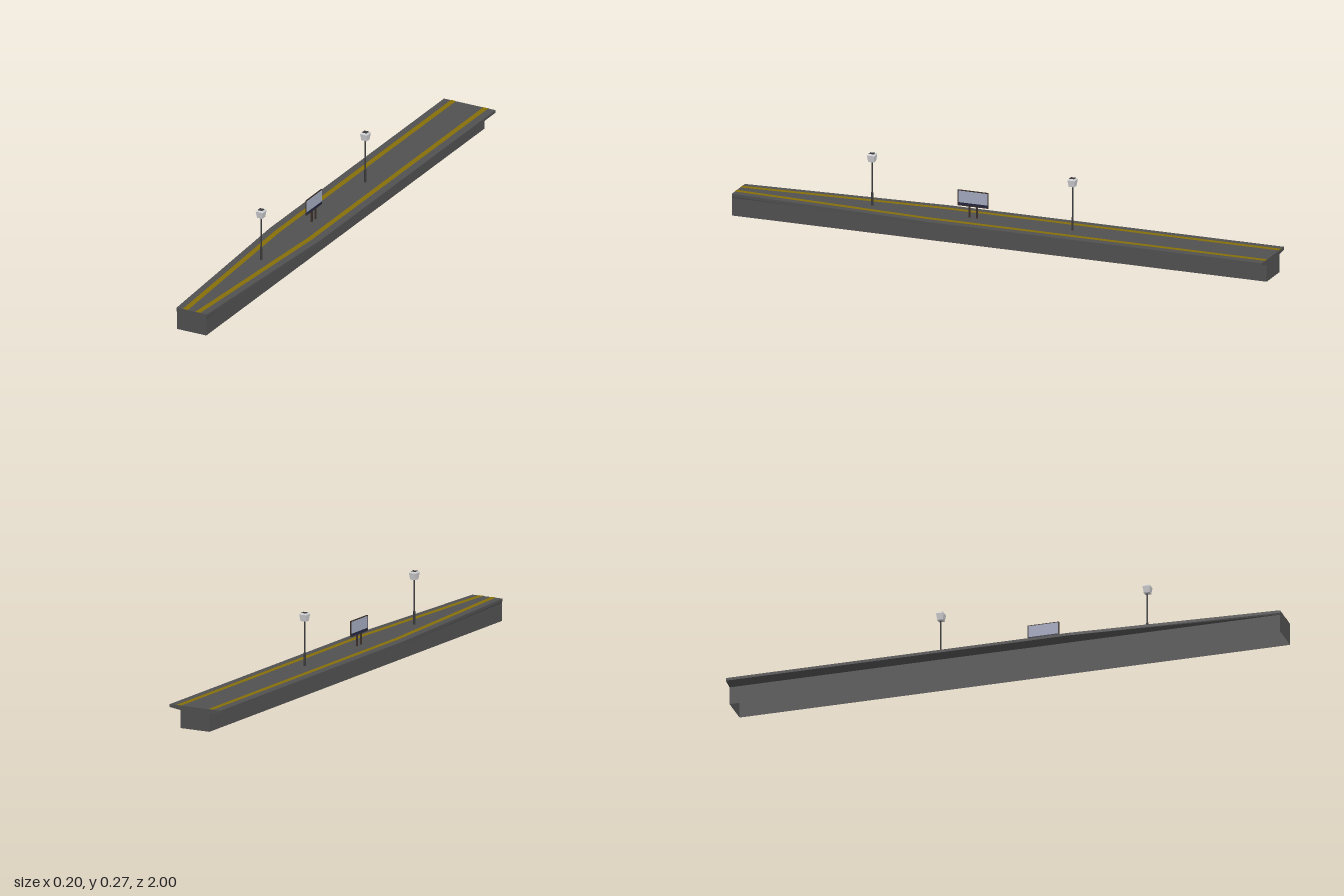
import * as THREE from 'three';

const mat = (name, color, side = THREE.FrontSide) => {
  const m = new THREE.MeshStandardMaterial({ color, side });
  m.name = name;
  return m;
};

// Sweeps a list of cross-sections ({ z, pts }) into a flat-shaded open shell.
function loft(sections) {
  const pos = [];
  for (let s = 0; s < sections.length - 1; s++) {
    const a = sections[s], b = sections[s + 1];
    for (let i = 0; i < a.pts.length - 1; i++) {
      const a0 = [...a.pts[i], a.z], a1 = [...a.pts[i + 1], a.z];
      const b0 = [...b.pts[i], b.z], b1 = [...b.pts[i + 1], b.z];
      pos.push(...a0, ...a1, ...b1, ...a0, ...b1, ...b0);
    }
  }
  const g = new THREE.BufferGeometry();
  g.setAttribute('position', new THREE.Float32BufferAttribute(pos, 3));
  g.computeVertexNormals();
  return g;
}

// Square frustum with flat sides; half widths at bottom and top.
function frustum(bottom, top, height) {
  const g = new THREE.CylinderGeometry(top * Math.SQRT2, bottom * Math.SQRT2, height, 4)
    .rotateY(Math.PI / 4).toNonIndexed();
  g.computeVertexNormals();
  return g;
}

export function createModel() {
  const model = new THREE.Group();
  model.name = 'stationPlatform';

  const concrete = mat('concrete', 0x505050, THREE.DoubleSide);
  const yellow = mat('safetyYellow', 0x866e08, THREE.DoubleSide);
  const metal = mat('darkMetal', 0x3a3a3c);
  const glass = mat('lampGlass', 0xcfcfd2);
  const frameMat = mat('signFrame', 0x3b302b);
  const panelMat = mat('signPanel', 0xa2a8be);
  const navy = mat('signNavy', 0x22263f);

  const add = (parent, name, geometry, material, x = 0, y = 0, z = 0) => {
    const mesh = new THREE.Mesh(geometry, material);
    mesh.name = name;
    mesh.position.set(x, y, z);
    parent.add(mesh);
    return mesh;
  };

  // Platform: hollow block with an overhanging deck that narrows to the front
  const DECK = 0.08, BASE = 0.058;
  const profile = (w) => {
    const half = [[BASE, 0], [BASE, 0.064], [w, 0.07], [w, DECK]];
    return [...half, ...half.slice().reverse().map(([x, y]) => [-x, y])];
  };
  const sections = [[-1, 0.102], [0.25, 0.102], [1, 0.06]].map(([z, w]) => ({ z, pts: profile(w) }));
  add(model, 'platformShell', loft(sections), concrete);
  const cap = (section) =>
    new THREE.ShapeGeometry(new THREE.Shape(section.pts.map(([x, y]) => new THREE.Vector2(x, y))));
  add(model, 'frontEnd', cap(sections[2]), concrete, 0, 0, 1);
  add(model, 'backEnd', cap(sections[0]).rotateY(Math.PI), concrete, 0, 0, -1);

  // Safety lines following the deck edges
  for (const side of [1, -1]) {
    const line = [[-1, 0.064], [0.27, 0.064], [1, 0.025]].map(([z, x]) => ({
      z,
      pts: [[side * x + 0.01, DECK + 0.001], [side * x - 0.01, DECK + 0.001]],
    }));
    add(model, side > 0 ? 'leftLine' : 'rightLine', loft(line), yellow);
  }

  // Lamp posts
  for (const z of [0.5, -0.25]) {
    const lamp = new THREE.Group();
    lamp.name = 'lampPost';
    lamp.position.set(0, DECK, z);
    add(lamp, 'lampFoot', new THREE.CylinderGeometry(0.0045, 0.0045, 0.047, 8), metal, 0, 0.0235);
    add(lamp, 'lampPole', new THREE.CylinderGeometry(0.0027, 0.0027, 0.12, 8), metal, 0, 0.102);
    add(lamp, 'lampShade', frustum(0.0105, 0.014, 0.024), glass, 0, 0.172);
    add(lamp, 'lampRoof', frustum(0.014, 0.0105, 0.005), glass, 0, 0.1865);
    add(lamp, 'lampCap', frustum(0.009, 0.009, 0.001), metal, 0, 0.1893);
    model.add(lamp);
  }

  // Information sign facing both sides
  const sign = new THREE.Group();
  sign.name = 'sign';
  sign.position.set(0, 0, 0.122);
  add(sign, 'signFrame', new THREE.BoxGeometry(0.004, 0.057, 0.114), frameMat, 0, 0.1485);
  add(sign, 'signPanel', new THREE.BoxGeometry(0.005, 0.042, 0.108), panelMat, 0, 0.153);
  add(sign, 'signBar', new THREE.BoxGeometry(0.005, 0.008, 0.108), navy, 0, 0.127);
  for (const z of [0.014, -0.014])
    add(sign, 'signLeg', new THREE.BoxGeometry(0.005, 0.042, 0.006), frameMat, 0, 0.1, z);
  model.add(sign);

  return model;
}
